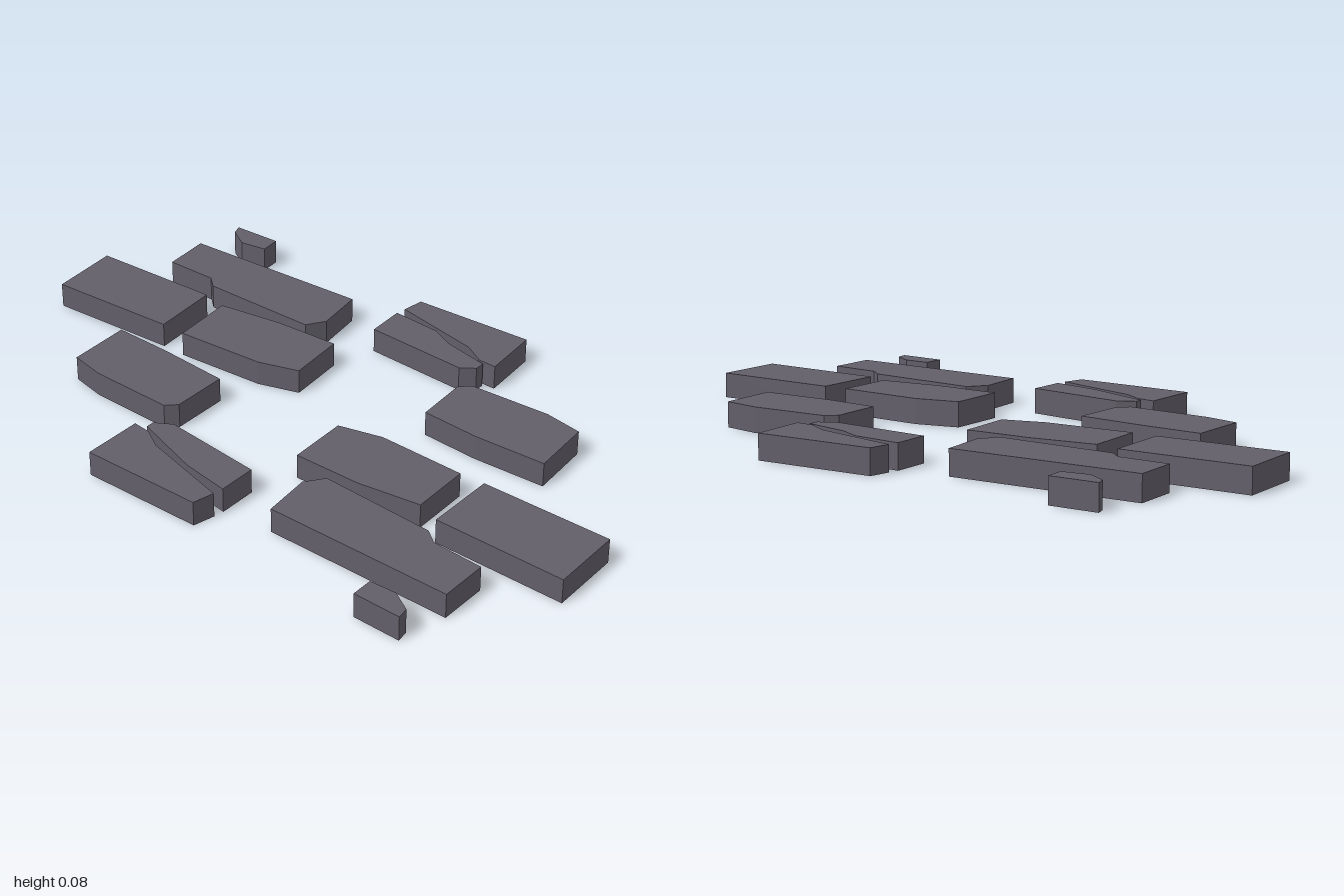
import * as THREE from 'three';

const HEIGHT = 0.075;

// Slab with vertical walls and a flat top, open underneath; outline is [x, z] corners
function slabGeometry(outline) {
  const shape = new THREE.Shape(outline.map(([x, z]) => new THREE.Vector2(x, -z)));
  const solid = new THREE.ExtrudeGeometry(shape, { depth: HEIGHT, bevelEnabled: false });
  solid.rotateX(-Math.PI / 2);
  // The first half of the lid group is the bottom cap: leave it out
  const skip = solid.groups[0].count / 2;
  const geometry = new THREE.BufferGeometry();
  for (const key of ['position', 'normal']) {
    const values = solid.attributes[key].array.slice(skip * 3);
    geometry.setAttribute(key, new THREE.BufferAttribute(values, 3));
  }
  return geometry;
}

export function createModel() {
  const group = new THREE.Group();
  group.name = 'stonePavers';
  const stone = new THREE.MeshStandardMaterial({ color: 0x625e69, side: THREE.DoubleSide, flatShading: true });
  stone.name = 'slate grey';

  const addSlab = (name, ...outline) => {
    const mesh = new THREE.Mesh(slabGeometry(outline), stone);
    mesh.name = name;
    group.add(mesh);
  };

  // Back half
  addSlab('backEndSlab', [-0.03, -0.985], [0.18, -1], [0.205, -0.61], [0, -0.595]);
  addSlab('backLongSlab', [0.28, -0.82], [0.42, -0.83], [0.465, -0.26], [0.32, -0.24],
    [0.265, -0.275], [0.255, -0.63], [0.285, -0.665]);
  addSlab('backChip', [0.54, -0.795], [0.57, -0.805], [0.58, -0.66], [0.52, -0.655], [0.505, -0.735]);
  addSlab('backSideSlab', [-0.29, -0.665], [-0.1, -0.67], [-0.1, -0.49], [-0.11, -0.275],
    [-0.28, -0.275], [-0.31, -0.305], [-0.31, -0.56]);
  addSlab('backMiddleSlab', [0, -0.52], [0.19, -0.535], [0.225, -0.34], [0.24, -0.145],
    [0.065, -0.13], [0.025, -0.25]);

  // Cracked pairs on either side
  addSlab('rightCrackedOuter', [-0.605, -0.305], [-0.425, -0.305], [-0.43, -0.25], [-0.465, -0.19],
    [-0.53, 0.08], [-0.595, 0.065]);
  addSlab('rightCrackedInner', [-0.415, -0.27], [-0.39, -0.27], [-0.36, -0.22], [-0.385, 0.085],
    [-0.5, 0.085], [-0.48, -0.06]);
  addSlab('leftCrackedInner', [0.375, -0.105], [0.49, -0.11], [0.485, 0.04], [0.455, 0.105],
    [0.43, 0.25], [0.4, 0.25], [0.37, 0.21]);
  addSlab('leftCrackedOuter', [0.52, -0.105], [0.585, -0.095], [0.615, 0.27], [0.44, 0.285],
    [0.44, 0.23], [0.475, 0.165]);

  // Front half
  addSlab('frontMiddleSlab', [-0.255, 0.135], [-0.075, 0.13], [-0.04, 0.26], [-0.04, 0.525],
    [-0.22, 0.53], [-0.25, 0.34]);
  addSlab('frontLongSlab', [-0.485, 0.24], [-0.34, 0.225], [-0.285, 0.265], [-0.295, 0.615],
    [-0.325, 0.655], [-0.33, 0.81], [-0.475, 0.81]);
  addSlab('frontChip', [-0.62, 0.63], [-0.555, 0.63], [-0.55, 0.71], [-0.585, 0.77], [-0.62, 0.775]);
  addSlab('frontEndSlab', [-0.245, 0.6], [-0.035, 0.6], [-0.025, 0.995], [-0.24, 1]);
  addSlab('frontSideSlab', [0.13, 0.275], [0.29, 0.265], [0.32, 0.295], [0.34, 0.54],
    [0.325, 0.655], [0.14, 0.67], [0.125, 0.45]);

  return group;
}
